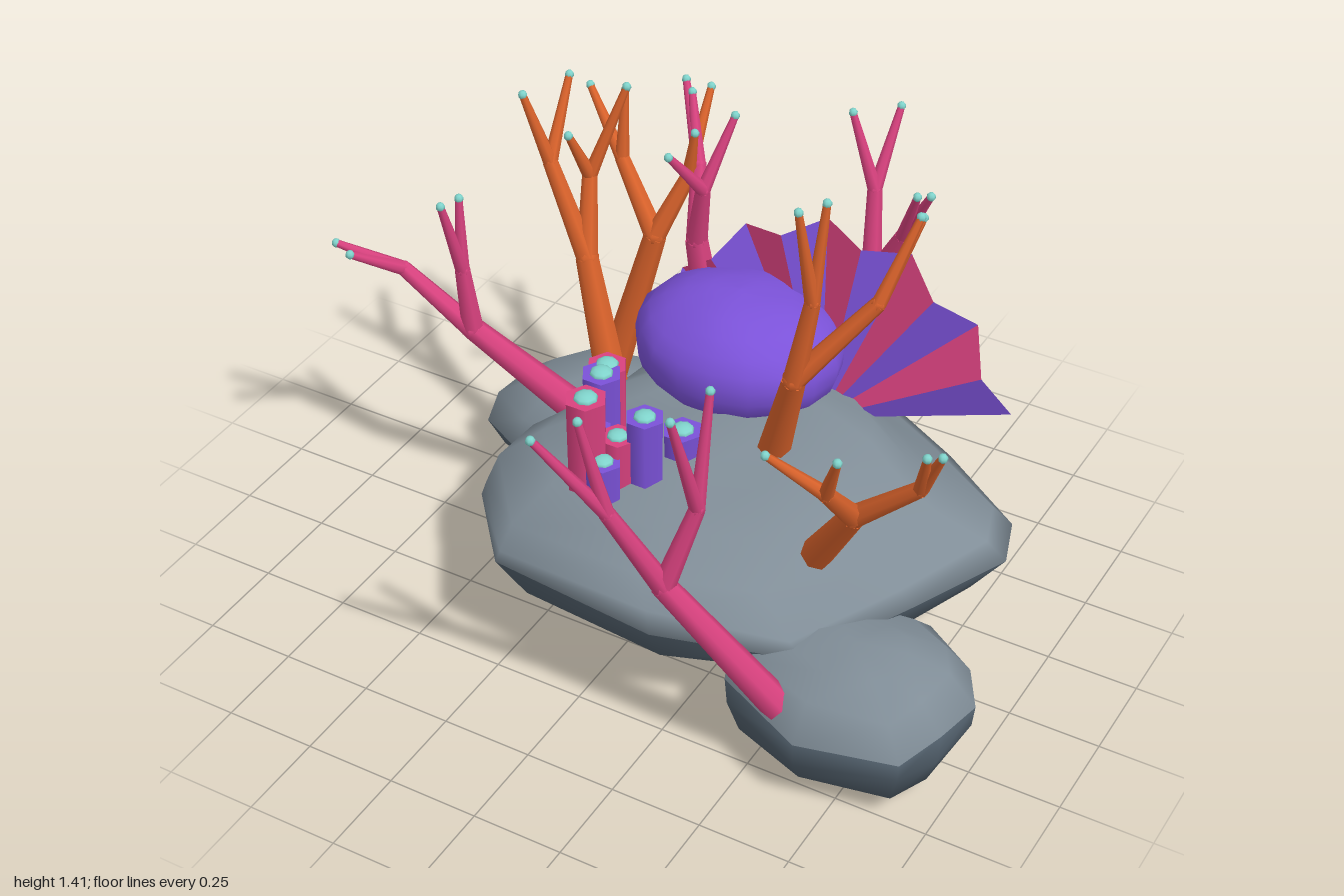
import * as THREE from 'three';

const V = (p) => new THREE.Vector3(...p);
const mat = (name, color, side = THREE.FrontSide) => {
  const m = new THREE.MeshStandardMaterial({ color, side });
  m.name = name;
  return m;
};

function add(parent, name, geometry, material, pos = [0, 0, 0]) {
  const mesh = new THREE.Mesh(geometry, material);
  mesh.name = name;
  mesh.position.set(...pos);
  parent.add(mesh);
  return mesh;
}

// Boulder: a plan outline (x, z, rim lift) scaled and shifted at a series of heights.
// Group 0 holds the faces that look up, group 1 the overhanging ones.
function boulder(outline, [cx, cz], levels, low, high) {
  const n = outline.length, pos = [], faces = [];
  levels.forEach(([y, s, dx = 0, dz = 0], j) => outline.forEach(([x, z, lift = 0], i) => {
    const wobble = 0.012 * Math.sin(i * 2.3 + j * 1.7);
    pos.push(cx + dx + (x - cx) * s, y + lift * s * s + wobble, cz + dz + (z - cz) * s);
  }));
  for (let j = 0; j < levels.length - 1; j++) {
    for (let i = 0; i < n; i++) {
      const a = j * n + i, b = j * n + (i + 1) % n;
      faces.push([a, a + n, b], [b, a + n, b + n]);
    }
  }
  const bottom = levels.length * n, top = bottom + 1, last = bottom - n;
  const [, , tx = 0, tz = 0] = levels[levels.length - 1];
  pos.push(cx, low, cz, cx + tx, high, cz + tz);
  for (let i = 0; i < n; i++) {
    const k = (i + 1) % n;
    faces.push([bottom, i, k], [top, last + k, last + i]);
  }
  const corner = (i) => V(pos.slice(i * 3, i * 3 + 3));
  const isUpper = (f, i) => {
    const normal = new THREE.Triangle(...f.map(corner)).getNormal(new THREE.Vector3());
    return normal.y > 0.1 + 0.14 * Math.sin(i * 3);
  };
  const upper = faces.filter(isUpper).flat();
  const under = faces.filter((f, i) => !isUpper(f, i)).flat();
  const g = new THREE.BufferGeometry();
  g.setAttribute('position', new THREE.Float32BufferAttribute(pos, 3));
  g.setIndex([...upper, ...under]);
  g.addGroup(0, upper.length, 0);
  g.addGroup(upper.length, under.length, 1);
  g.computeVertexNormals();
  return g;
}

// Tapered limb between two points, with a rounded joint at the far end
function limb(parent, a, b, r0, r1, material) {
  const from = V(a), to = V(b), dir = to.clone().sub(from);
  const mesh = add(parent, 'limb', new THREE.CylinderGeometry(r1, r0, dir.length(), 7), material);
  mesh.position.copy(from).addScaledVector(dir, 0.5);
  mesh.quaternion.setFromUnitVectors(new THREE.Vector3(0, 1, 0), dir.normalize());
  add(parent, 'joint', new THREE.SphereGeometry(r1, 7, 5), material, b);
}

// Branching coral: a trunk, two boughs, and two tipped twigs on each bough
function branchCoral(parent, name, { base, fork, boughs }, material, tipMaterial) {
  const g = new THREE.Group();
  g.name = name;
  limb(g, base, fork, 0.046, 0.032, material);
  for (const [end, ...tips] of boughs) {
    limb(g, fork, end, 0.03, 0.021, material);
    for (const tip of tips) {
      limb(g, end, tip, 0.02, 0.01, material);
      add(g, 'tip', new THREE.SphereGeometry(0.0125, 7, 5), tipMaterial, tip);
    }
  }
  parent.add(g);
}

export function createModel() {
  const root = new THREE.Group();
  root.name = 'coralReef';
  const stone = [mat('light stone', 0x808d97), mat('dark stone', 0x52606c)];
  const pink = mat('coral pink', 0xd9427f);
  const orange = mat('coral orange', 0xd9622b);
  const purple = mat('coral purple', 0x7b52d8);
  const teal = mat('polyp teal', 0x80d4cc);
  const fanPink = mat('fan pink', 0xd9427f, THREE.DoubleSide);
  const fanPurple = mat('fan purple', 0x7b52d8, THREE.DoubleSide);

  // Rocks
  add(root, 'mainRock', boulder(
    [[0.88, -0.19, 0.04], [0.75, 0.08, 0.01], [0.58, 0.38, 0], [0.23, 0.53, 0.05], [-0.25, 0.49, 0.04],
      [-0.49, 0.19, -0.02], [-0.48, 0, 0], [-0.36, -0.25, 0], [-0.32, -0.48, -0.01], [-0.24, -0.62, -0.02],
      [-0.1, -0.71, -0.03], [0.08, -0.78, -0.04], [0.28, -0.72, -0.03], [0.55, -0.56, 0], [0.83, -0.34, 0.03]],
    [0.12, -0.12],
    [[0.05, 0.48], [0.09, 0.67], [0.18, 0.88], [0.3, 1], [0.35, 0.95, -0.01, 0.02], [0.42, 0.83, -0.05, 0.04],
      [0.49, 0.68, -0.05, 0.01], [0.535, 0.5, -0.04, -0.07], [0.56, 0.3, -0.04, -0.11]], 0.03, 0.575), stone);
  add(root, 'backRock', boulder(
    [[-0.16, -0.4], [-0.25, -0.24], [-0.47, -0.17], [-0.63, -0.19], [-0.76, -0.25], [-0.76, -0.44],
      [-0.62, -0.57], [-0.43, -0.65], [-0.22, -0.6]],
    [-0.45, -0.4], [[0.02, 0.55], [0.06, 0.86], [0.13, 1], [0.22, 0.9], [0.29, 0.6]], 0.005, 0.33), stone);
  add(root, 'frontRock', boulder(
    [[1, 0.24], [0.98, 0.4], [0.93, 0.53], [0.67, 0.59], [0.42, 0.48], [0.34, 0.3], [0.5, 0.1], [0.78, 0.04], [0.93, 0.12]],
    [0.68, 0.3], [[0.04, 0.62], [0.08, 0.88], [0.16, 0.98], [0.23, 1], [0.305, 0.78], [0.335, 0.45]], 0.025, 0.345), stone);

  // Dome coral: a slightly lumpy ellipsoid, fuller below its middle
  const dome = new THREE.SphereGeometry(1, 18, 12);
  const p = dome.attributes.position;
  for (let i = 0; i < p.count; i++) {
    const v = new THREE.Vector3().fromBufferAttribute(p, i);
    const s = 1 + 0.03 * Math.sin(v.x * 6 + 1) * Math.cos(v.z * 5) * Math.cos(v.y * 4);
    const full = v.y < 0 ? s * (1 + 0.4 * v.y * v.y) : s;
    p.setXYZ(i, v.x * full * 0.29, v.y * s * 0.158, v.z * full * 0.25);
  }
  dome.computeVertexNormals();
  add(root, 'domeCoral', dome, purple, [0.02, 0.66, -0.315]);

  // Sea fan: pleated panels spreading from one foot, leaning back
  const panels = 11, foot = [0.25, 0.45, -0.355];
  const rim = (i) => {
    const a = THREE.MathUtils.degToRad(18 + 144 * i / panels);
    const r = i % 2 ? 0.515 : 0.55;
    const y = Math.sin(a) * r;
    return [foot[0] + Math.cos(a) * r, foot[1] + y, foot[2] - 0.2 * y + (i % 2 ? 0.02 : -0.02)];
  };
  [fanPurple, fanPink].forEach((material, k) => {
    const pos = [];
    for (let i = k; i < panels; i += 2) pos.push(...foot, ...rim(i), ...rim(i + 1));
    const g = new THREE.BufferGeometry();
    g.setAttribute('position', new THREE.Float32BufferAttribute(pos, 3));
    g.computeVertexNormals();
    add(root, k ? 'fanPinkPanels' : 'fanPurplePanels', g, material);
  });

  // Tube corals: x, z, top height, radius, colour
  const tubes = [
    [-0.15, 0.085, 0.76, 0.055, pink], [-0.14, 0.13, 0.765, 0.055, purple],
    [-0.105, 0.265, 0.785, 0.057, pink], [0.02, 0.185, 0.72, 0.053, purple],
    [0.065, 0.07, 0.62, 0.055, purple], [-0.045, 0.285, 0.62, 0.05, purple],
    [-0.04, 0.22, 0.66, 0.05, pink], [-0.115, 0.215, 0.65, 0.05, purple],
  ];
  for (const [x, z, top, r, material] of tubes) {
    const tube = new THREE.Group();
    tube.name = 'tubeCoral';
    const h = top - 0.46;
    add(tube, 'tube', new THREE.CylinderGeometry(r, r * 0.95, h, 6), material, [x, top - h / 2, z]).rotation.y = Math.PI / 6;
    add(tube, 'polyp', new THREE.SphereGeometry(r * 0.57, 8, 6), teal, [x, top, z]).scale.y = 0.5;
    root.add(tube);
  }

  // Branching corals; each bough lists its end, then its two tips
  const pinkTrees = {
    frontPinkCoral: { base: [0.62, 0.2, 0.49], fork: [0.33, 0.62, 0.63], boughs: [
      [[0.24, 0.88, 0.735], [0.13, 1.15, 0.88], [0.2, 1.17, 0.79]],
      [[0.4, 0.86, 0.59], [0.39, 1.18, 0.7], [0.41, 1.18, 0.55]]] },
    sidePinkCoral: { base: [-0.37, 0.42, -0.1], fork: [-0.6, 0.68, 0.03], boughs: [
      [[-0.8, 0.82, 0.05], [-0.98, 0.87, 0.1], [-0.86, 0.93, 0.2]],
      [[-0.61, 0.88, 0.05], [-0.62, 1.11, 0.12], [-0.61, 1.1, 0.05]]] },
    backPinkCoral: { base: [0.13, 0.39, -0.48], fork: [0.2, 0.65, -0.74], boughs: [
      [[0.18, 0.92, -0.78], [0.2, 1.135, -0.88], [0.11, 1.145, -0.77]],
      [[0.31, 0.86, -0.69], [0.43, 1.08, -0.59], [0.4, 1.08, -0.57]]] },
    middlePinkCoral: { base: [-0.13, 0.46, -0.46], fork: [-0.17, 0.85, -0.42], boughs: [
      [[-0.13, 1.04, -0.38], [-0.16, 1.2, -0.25], [-0.08, 1.24, -0.46]],
      [[-0.21, 1.03, -0.5], [-0.27, 1.2, -0.57], [-0.3, 1.22, -0.59]]] },
  };
  const orangeTrees = {
    tallOrangeCoral: { base: [0.25, 0.52, -0.08], fork: [0.36, 0.86, 0.03], boughs: [
      [[0.41, 1.12, 0.04], [0.39, 1.4, 0.09], [0.43, 1.4, 0.02]],
      [[0.54, 1.1, -0.06], [0.6, 1.32, -0.15], [0.6, 1.31, -0.165]]] },
    frontOrangeCoral: { base: [0.47, 0.39, 0.13], fork: [0.66, 0.72, 0.28], boughs: [
      [[0.66, 0.9, 0.44], [0.55, 1.04, 0.54], [0.73, 1.08, 0.53]],
      [[0.84, 0.89, 0.3], [0.89, 1.06, 0.39], [0.92, 1.06, 0.37]]] },
    sideOrangeCoral: { base: [-0.27, 0.47, -0.15], fork: [-0.38, 0.85, -0.2], boughs: [
      [[-0.5, 1.1, -0.22], [-0.56, 1.3, -0.19], [-0.51, 1.3, -0.34]],
      [[-0.41, 1.06, -0.27], [-0.43, 1.21, -0.2], [-0.33, 1.32, -0.33]]] },
    backOrangeCoral: { base: [-0.45, 0.26, -0.4], fork: [-0.3, 0.82, -0.42], boughs: [
      [[-0.43, 1, -0.47], [-0.57, 1.15, -0.54], [-0.43, 1.2, -0.49]],
      [[-0.23, 1.0, -0.48], [-0.24, 1.2, -0.62], [-0.2, 1.15, -0.46]]] },
  };
  for (const [name, tree] of Object.entries(pinkTrees)) branchCoral(root, name, tree, pink, teal);
  for (const [name, tree] of Object.entries(orangeTrees)) branchCoral(root, name, tree, orange, teal);

  return root;
}
